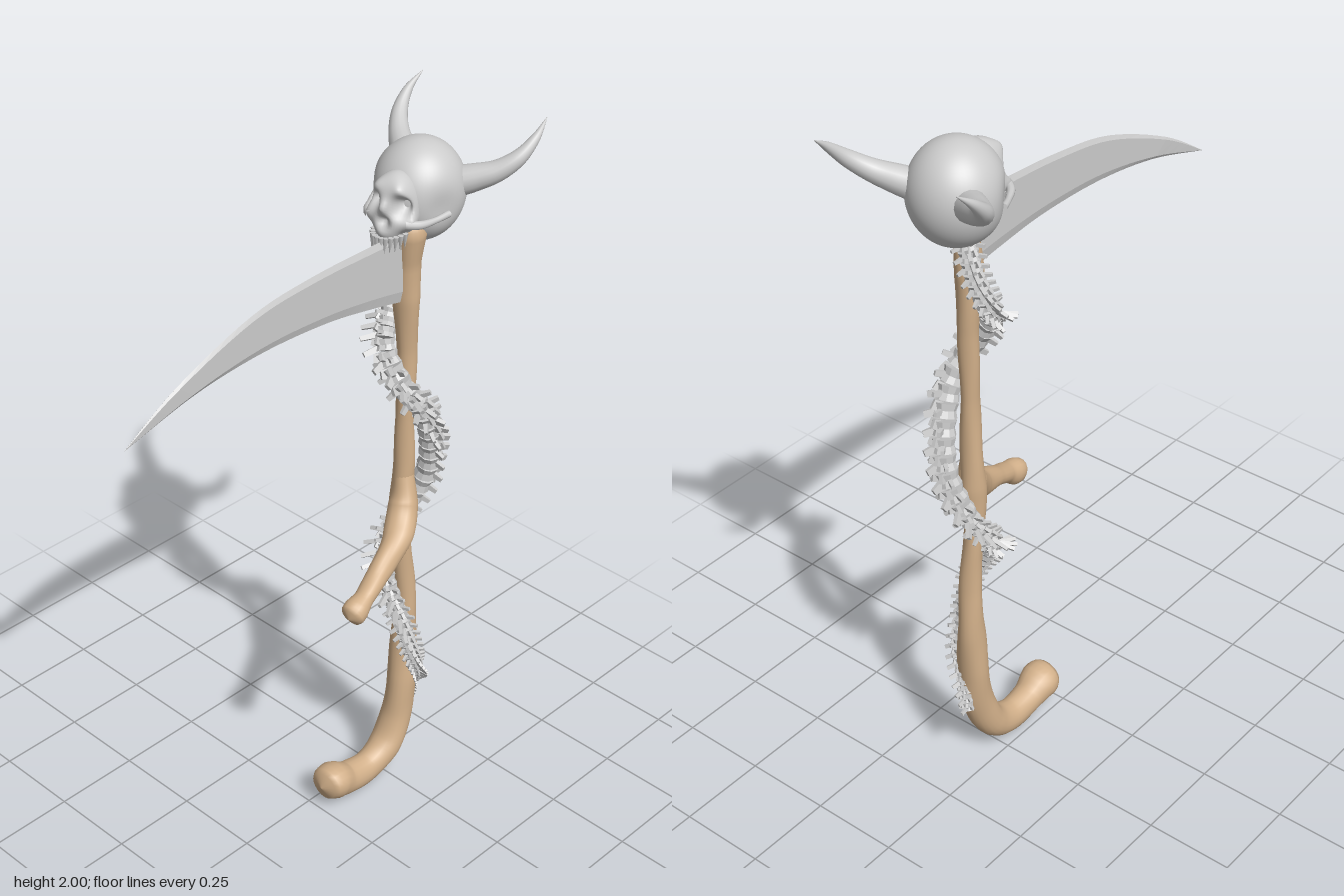
import * as THREE from 'three';
import { mergeGeometries, mergeVertices } from 'three/addons/utils/BufferGeometryUtils.js';

const grey = new THREE.MeshStandardMaterial({ color: 0xcccccc });
const greyFlat = new THREE.MeshStandardMaterial({ color: 0xcccccc, flatShading: true });
const bladeMat = new THREE.MeshStandardMaterial({ color: 0xcccccc, flatShading: true, side: THREE.DoubleSide });
const boneMat = new THREE.MeshStandardMaterial({ color: 0xd2b08a });

const V = (x, y, z) => new THREE.Vector3(x, y, z);

function add(parent, name, geometry, material) {
  const mesh = new THREE.Mesh(geometry, material);
  mesh.name = name;
  parent.add(mesh);
  return mesh;
}

function smooth(geometry) {
  geometry.deleteAttribute('uv');
  geometry.deleteAttribute('normal');
  const merged = mergeVertices(geometry, 1e-5);
  merged.computeVertexNormals();
  return merged;
}

// Tube whose radius follows the fourth value of each path point
function taperTube(path, segments, sides, lump = 0) {
  const curve = new THREE.CatmullRomCurve3(path.map(p => V(p[0], p[1], p[2])));
  const geometry = new THREE.TubeGeometry(curve, segments, 1, sides);
  const pos = geometry.attributes.position;
  const v = V(0, 0, 0);
  for (let i = 0; i <= segments; i++) {
    const u = i / segments;
    const centre = curve.getPointAt(u);
    const t = curve.getUtoTmapping(u) * (path.length - 1);
    const k = Math.min(Math.floor(t), path.length - 2);
    const r = THREE.MathUtils.lerp(path[k][3], path[k + 1][3], t - k);
    for (let j = 0; j <= sides; j++) {
      const n = i * (sides + 1) + j;
      const a = (j % sides) / sides * Math.PI * 2;
      const bump = 1 + lump * (Math.sin(a * 2 + i * 0.35) + 0.6 * Math.sin(a * 3 - i * 0.23));
      v.fromBufferAttribute(pos, n).sub(centre).multiplyScalar(r * bump).add(centre);
      pos.setXYZ(n, v.x, v.y, v.z);
    }
  }
  return smooth(geometry);
}

// Ellipsoid with gaussian pushes: [x, y, z, width, dx, dy, dz]
function dentedBall(radii, centre, pushes) {
  const geometry = new THREE.SphereGeometry(1, 56, 40);
  geometry.scale(...radii).translate(...centre);
  const pos = geometry.attributes.position;
  const v = V(0, 0, 0), move = V(0, 0, 0);
  for (let i = 0; i < pos.count; i++) {
    v.fromBufferAttribute(pos, i);
    move.set(0, 0, 0);
    for (const [x, y, z, w, dx, dy, dz] of pushes) {
      const d2 = v.distanceToSquared(V(x, y, z));
      move.addScaledVector(V(dx, dy, dz), Math.exp(-d2 / (w * w)));
    }
    v.add(move);
    pos.setXYZ(i, v.x, v.y, v.z);
  }
  return smooth(geometry);
}

function buildHandle(root) {
  // Long bone with a hooked foot
  add(root, 'shaftBone', taperTube([
    [0.0, 0.082, 0.048, 0.001], [0.003, 0.083, 0.048, 0.032], [0.02, 0.084, 0.048, 0.05],
    [0.05, 0.083, 0.048, 0.056], [0.1, 0.062, 0.048, 0.046], [0.19, 0.052, 0.048, 0.044],
    [0.262, 0.09, 0.05, 0.047], [0.307, 0.18, 0.052, 0.044], [0.327, 0.32, 0.052, 0.043],
    [0.335, 0.45, 0.048, 0.038], [0.335, 0.6, 0.048, 0.03], [0.32, 0.8, 0.042, 0.026],
    [0.315, 0.93, 0.042, 0.034], [0.315, 1.05, 0.047, 0.029], [0.313, 1.2, 0.047, 0.025],
    [0.316, 1.4, 0.045, 0.027], [0.307, 1.56, 0.045, 0.036], [0.306, 1.66, 0.05, 0.033],
    [0.305, 1.75, 0.055, 0.042], [0.303, 1.785, 0.055, 0.03], [0.303, 1.79, 0.055, 0.001],
  ], 150, 20, 0.035), boneMat);

  // Side grip
  add(root, 'gripBone', taperTube([
    [0.316, 1.12, 0.045, 0.012], [0.312, 1.02, 0.05, 0.026], [0.298, 0.935, 0.065, 0.042],
    [0.24, 0.873, 0.1, 0.041], [0.125, 0.815, 0.132, 0.029], [0.06, 0.783, 0.147, 0.028],
    [0.028, 0.767, 0.151, 0.036], [0.006, 0.757, 0.154, 0.034], [-0.006, 0.752, 0.155, 0.02],
    [-0.008, 0.751, 0.155, 0.001],
  ], 60, 18, 0.04), boneMat);
}

// Tapered bar from the origin along +z
function spike(width, height, length, tip) {
  const geometry = new THREE.BoxGeometry(width, height, length).translate(0, 0, length / 2);
  const pos = geometry.attributes.position;
  for (let i = 0; i < pos.count; i++) {
    if (pos.getZ(i) > length / 2) pos.setXY(i, pos.getX(i) * tip, pos.getY(i) * tip);
  }
  return geometry;
}

// One vertebra: y along the spine, z away from the shaft
function vertebra(size, pitch, reach) {
  const body = new THREE.LatheGeometry([
    [0, -0.42], [1, -0.42], [0.84, 0], [1, 0.42], [0, 0.42],
  ].map(([r, y]) => new THREE.Vector2(r * size, y * pitch)), 10);
  const parts = [body, spike(size * 0.45, pitch * 0.55, reach, 0.7).rotateX(-0.35)];
  for (const side of [-1, 1]) {
    parts.push(spike(size * 0.45, pitch * 0.45, size * 1.65, 0.6).rotateX(-0.15).rotateY(side * 1.15));
    parts.push(spike(size * 0.4, pitch * 0.7, size * 1.25, 0.8).rotateX(0.35).rotateY(side * 0.5));
  }
  return mergeGeometries(parts);
}

function buildSpine(root) {
  const curve = new THREE.CatmullRomCurve3([
    [0.35, 1.72, 0.02], [0.348, 1.6, -0.005], [0.315, 1.5, -0.015], [0.26, 1.42, 0.02],
    [0.265, 1.33, 0.075], [0.32, 1.24, 0.1], [0.373, 1.12, 0.085], [0.393, 1.0, 0.06],
    [0.367, 0.88, 0.02], [0.31, 0.78, 0.0], [0.262, 0.7, 0.04], [0.262, 0.58, 0.1],
    [0.29, 0.47, 0.112], [0.33, 0.37, 0.095], [0.36, 0.27, 0.055], [0.372, 0.215, 0.035],
  ].map(p => V(...p)));
  const length = curve.getLength();
  const parts = [];
  for (let u = 0.01; u < 1;) {
    const middle = THREE.MathUtils.smoothstep(u, 0.15, 0.25) * (1 - THREE.MathUtils.smoothstep(u, 0.5, 0.6));
    const end = 1 - THREE.MathUtils.smoothstep(u, 0.75, 1);
    const pitch = 0.025 + 0.017 * middle + 0.003 * end;
    const size = 0.016 + 0.011 * end + 0.005 * middle;
    const p = curve.getPointAt(u), along = curve.getTangentAt(u);
    const out = V(p.x - 0.318, 0, p.z - 0.045);
    out.addScaledVector(along, -out.dot(along)).normalize();
    const basis = new THREE.Matrix4().makeBasis(V(0, 0, 0).crossVectors(along, out), along, out).setPosition(p);
    parts.push(vertebra(size, pitch, 0.035 + 0.035 * end - 0.014 * middle).applyMatrix4(basis));
    u += pitch / length;
  }
  add(root, 'spine', mergeGeometries(parts), greyFlat);
}

function buildSkull(root) {
  const skull = new THREE.Group();
  skull.name = 'skull';
  skull.position.set(0.38, 1.83, 0.012);
  skull.rotation.y = -1.39;
  root.add(skull);

  // Braincase, pinched a little at the temples
  add(skull, 'cranium', dentedBall([0.12, 0.135, 0.124], [0, 0, 0], [
    [0.12, -0.01, 0.06, 0.05, -0.014, 0, 0], [-0.12, -0.01, 0.06, 0.05, 0.014, 0, 0],
  ]), grey);

  // Face with brow, eye sockets, nose hole and upper jaw
  const facePushes = [
    [0, -0.03, 0.18, 0.017, 0, 0, -0.035],
    [0, 0.015, 0.17, 0.016, 0, 0, 0.014],
    [0, -0.085, 0.18, 0.04, 0, 0.004, 0.022],
  ];
  for (const s of [-1, 1]) {
    facePushes.push([s * 0.036, 0.012, 0.15, 0.023, -s * 0.006, 0, -0.05]);
    facePushes.push([s * 0.034, 0.052, 0.135, 0.024, 0, 0.004, 0.014]);
    facePushes.push([s * 0.056, -0.03, 0.13, 0.022, s * 0.012, 0, 0.008]);
    facePushes.push([s * 0.05, -0.065, 0.13, 0.022, -s * 0.012, 0, 0]);
  }
  add(skull, 'face', dentedBall([0.064, 0.095, 0.068], [0, -0.008, 0.105], facePushes), grey);

  for (const s of [-1, 1]) {
    add(skull, 'cheekArch', taperTube([
      [s * 0.05, -0.03, 0.145, 0.012], [s * 0.077, -0.034, 0.118, 0.011],
      [s * 0.095, -0.034, 0.075, 0.008], [s * 0.108, -0.03, 0.03, 0.009],
    ], 16, 10), grey);
  }

  // Upper teeth around the jaw arc
  for (let i = 0; i < 12; i++) {
    const a = (i - 5.5) / 5.5 * 1.45;
    const tooth = add(skull, 'tooth', new THREE.ConeGeometry(0.008, 0.042, 6), grey);
    tooth.position.set(Math.sin(a) * 0.043, -0.083, 0.122 + Math.cos(a) * 0.064);
    tooth.rotation.set(Math.PI - 0.15 * Math.cos(a), 0, 0);
  }

  // Horns sweep out, back and up
  for (const s of [-1, 1]) {
    add(root, s > 0 ? 'frontHorn' : 'backHorn', taperTube([
      [0.435, 1.845, 0.07, 0.042], [0.465, 1.862, 0.115, 0.036], [0.5, 1.885, 0.163, 0.028],
      [0.54, 1.92, 0.198, 0.021], [0.585, 1.962, 0.211, 0.012], [0.633, 2.0, 0.205, 0.0008],
    ].map(([x, y, z, r]) => [x, y, s * z - (s < 0 ? 0.005 : 0), r]), 32, 16), grey);
  }
}

// Curved blade: a bevelled section swept from the tip to the shaft
function buildBlade(root) {
  const edge = pts => new THREE.SplineCurve(pts.map(p => new THREE.Vector2(...p)));
  const top = edge([[-0.632, 1.515], [-0.47, 1.618], [-0.235, 1.715], [-0.035, 1.747], [0.19, 1.758], [0.3, 1.76]]);
  const bottom = edge([[-0.632, 1.514], [-0.415, 1.575], [-0.2, 1.602], [0.01, 1.6], [0.165, 1.58], [0.3, 1.555]]);
  const section = [[0, 0], [0.16, 1], [0.9, 1], [1, 0], [0.9, -1], [0.16, -1]];
  const n = 30, m = section.length, verts = [], index = [];
  for (let i = 0; i <= n; i++) {
    const a = bottom.getPoint(i / n), b = top.getPoint(i / n);
    const thick = 0.006 * Math.min(1, i / 6);
    for (const [h, side] of section) {
      const x = THREE.MathUtils.lerp(a.x, b.x, h);
      verts.push(x, THREE.MathUtils.lerp(a.y, b.y, h), 0.045 + 0.035 * x + side * thick);
    }
    for (let j = 0; i < n && j < m; j++) {
      const p = i * m + j, q = i * m + (j + 1) % m;
      index.push(p, p + m, q + m, p, q + m, q);
    }
  }
  const geometry = new THREE.BufferGeometry();
  geometry.setAttribute('position', new THREE.Float32BufferAttribute(verts, 3));
  geometry.setIndex(index);
  geometry.computeVertexNormals();
  add(root, 'blade', geometry, bladeMat);
}

export function createModel() {
  const root = new THREE.Group();
  root.name = 'boneScythe';
  buildHandle(root);
  buildSpine(root);
  buildSkull(root);
  buildBlade(root);
  return root;
}
